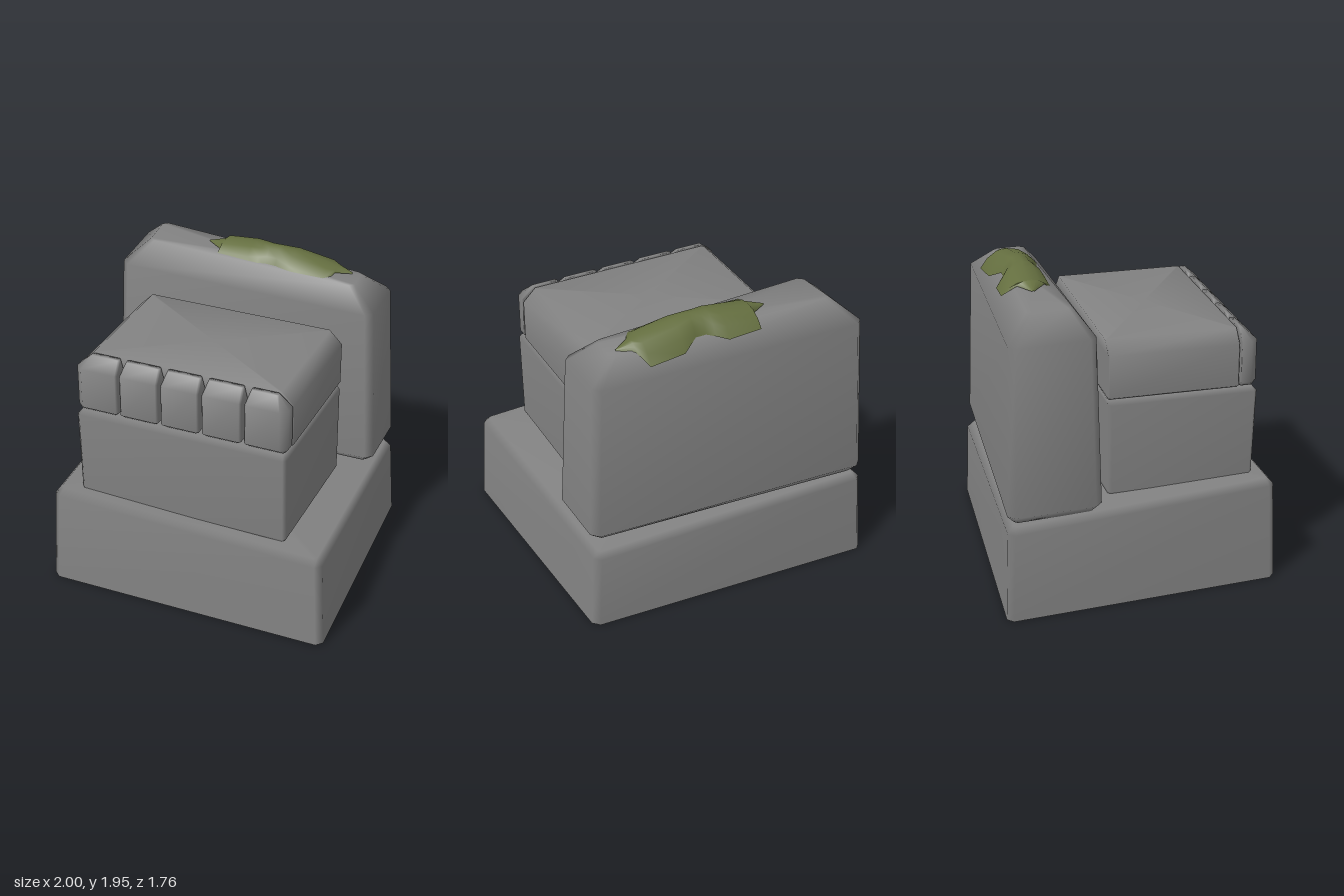
import * as THREE from 'three';

const stone = new THREE.MeshStandardMaterial({ color: 0x828282, side: THREE.DoubleSide });
stone.name = 'grey stone';
const green = new THREE.MeshStandardMaterial({ color: 0x656f40, side: THREE.DoubleSide });
green.name = 'moss green';

function makeMesh(name, points, index, material) {
  const g = new THREE.BufferGeometry();
  g.setAttribute('position', new THREE.Float32BufferAttribute(points.flat(), 3));
  g.setIndex(index);
  g.computeVertexNormals(); // area weighted: large faces stay flat, bevels stay soft
  const mesh = new THREE.Mesh(g, material);
  mesh.name = name;
  return mesh;
}

// Four corners cut to eight. Order: front left on screen, front right, back right, back left.
function cutCorners(corners, cut) {
  const p = corners.map(c => new THREE.Vector3(...c));
  return p.flatMap((v, i) => {
    const c = Array.isArray(cut) ? cut[i] : cut;
    return [p[(i + 3) % 4], p[(i + 1) % 4]].map(q =>
      v.clone().add(q.clone().sub(v).setLength(c)).toArray());
  });
}

// Loft a stone through rings listed from bottom to top
function loftStone(name, rings, openBottom = false) {
  const points = rings.flatMap(r => cutCorners(r.corners, r.cut));
  const index = [], n = 8;
  for (let r = 0; r < rings.length - 1; r++) {
    for (let i = 0; i < n; i++) {
      const a = r * n + i, b = r * n + (i + 1) % n;
      index.push(a, b, b + n, a, b + n, a + n);
    }
  }
  const cap = (start, up) => {
    const mid = [0, 1, 2].map(k => {
      let s = 0;
      for (let i = 0; i < n; i++) s += points[start + i][k];
      return s / n;
    });
    const m = points.push(mid) - 1;
    for (let i = 0; i < n; i++) {
      const a = start + i, b = start + (i + 1) % n;
      if (up) index.push(m, a, b); else index.push(m, b, a);
    }
  };
  cap((rings.length - 1) * n, true);
  if (!openBottom) cap(0, false);
  return makeMesh(name, points, index, stone);
}

// Level rectangular ring
const rect = (y, x0, x1, z0, z1, cut) => ({
  corners: [[x0, y, z1], [x1, y, z1], [x1, y, z0], [x0, y, z0]], cut,
});

function createModel() {
  const model = new THREE.Group();
  model.name = 'stoneMonument';

  // Skewed hollow plinth with a sloping top
  model.add(loftStone('base', [
    { corners: [[-0.87, 0, 0.88], [1.0, 0, 0.88], [0.91, 0, -0.79], [-1.005, 0, -0.885]], cut: 0.04 },
    { corners: [[-0.84, 0.635, 0.865], [0.97, 0.57, 0.865], [0.88, 0.5, -0.775], [-0.975, 0.565, -0.86]], cut: 0.04 },
    { corners: [[-0.805, 0.678, 0.825], [0.93, 0.61, 0.825], [0.845, 0.54, -0.74], [-0.935, 0.607, -0.82]], cut: 0.02 },
  ], true));

  // Upright back slab with broad sloping shoulders
  model.add(loftStone('backSlab', [
    { corners: [[-0.87, 0.62, -0.315], [0.84, 0.62, -0.315], [0.83, 0.62, -0.71], [-0.91, 0.62, -0.81]], cut: 0.02 },
    { corners: [[-0.93, 0.68, -0.265], [0.895, 0.67, -0.265], [0.885, 0.67, -0.755], [-0.975, 0.68, -0.86]], cut: 0.045 },
    { corners: [[-0.89, 1.74, -0.285], [0.845, 1.70, -0.285], [0.835, 1.70, -0.725], [-0.93, 1.74, -0.825]], cut: 0.045 },
    { corners: [[-0.73, 1.89, -0.395], [0.68, 1.83, -0.395], [0.67, 1.83, -0.6], [-0.76, 1.89, -0.68]], cut: 0.03 },
  ]));

  // Two stacked blocks in front of the slab
  model.add(loftStone('lowerBlock', [
    rect(0.61, -0.67, 0.68, -0.17, 0.74, 0.01),
    rect(0.64, -0.69, 0.7, -0.17, 0.76, 0.02),
    rect(1.22, -0.69, 0.7, -0.17, 0.78, 0.02),
    rect(1.25, -0.665, 0.675, -0.17, 0.755, 0.01),
  ]));
  model.add(loftStone('upperBlock', [
    rect(1.26, -0.68, 0.69, -0.17, 0.655, 0.008),
    rect(1.27, -0.69, 0.7, -0.17, 0.66, 0.008),
    rect(1.54, -0.69, 0.7, -0.17, 0.66, 0.008),
    rect(1.62, -0.61, 0.62, -0.17, 0.66, 0.008),
  ]));

  // Row of five small stones along the front edge
  const row = new THREE.Group();
  row.name = 'frontStones';
  const spans = [[-0.69, -0.405], [-0.39, -0.135], [-0.115, 0.135], [0.155, 0.41], [0.43, 0.7]];
  spans.forEach(([x0, x1], i) => {
    const l = i === 0, r = i === 4; // outer ends are cut more deeply
    const cut = [l ? 0.045 : 0.012, r ? 0.045 : 0.012, 0.006, 0.006];
    const tl = l ? 0.08 : 0.015, tr = r ? 0.08 : 0.015;
    row.add(loftStone('frontStone', [
      rect(1.26, x0 + 0.02, x1 - 0.02, 0.67, 0.75, 0.01),
      rect(1.285, x0, x1, 0.67, 0.78, cut),
      rect(1.55, x0, x1, 0.67, 0.78, cut),
      rect(1.62, x0 + tl, x1 - tr, 0.67, 0.705, 0.01),
    ]));
  });
  model.add(row);

  // Jagged moss draped over the slab: x, back z, back y, front z, front y, crest y
  const stations = [
    [-0.37, -0.56, 1.88, -0.55, 1.88, 1.885],
    [-0.25, -0.63, 1.88, -0.46, 1.88, 1.915],
    [-0.26, -0.73, 1.83, -0.39, 1.84, 1.915],
    [-0.05, -0.72, 1.81, -0.385, 1.82, 1.94],
    [0.02, -0.68, 1.83, -0.395, 1.83, 1.945],
    [0.07, -0.65, 1.84, -0.42, 1.84, 1.945],
    [0.14, -0.65, 1.84, -0.42, 1.84, 1.945],
    [0.24, -0.71, 1.79, -0.37, 1.80, 1.935],
    [0.47, -0.72, 1.77, -0.365, 1.785, 1.89],
    [0.52, -0.62, 1.83, -0.49, 1.85, 1.875],
    [0.62, -0.56, 1.835, -0.55, 1.835, 1.84],
  ];
  const steps = [0, 0.13, 0.3, 0.5, 0.7, 0.87, 1];
  const points = stations.flatMap(([x, zb, yb, zf, yf, top]) => steps.map(t => {
    const edge = THREE.MathUtils.lerp(yb, yf, t);
    const rise = 1 - Math.abs(2 * t - 1) ** 2.5;
    return [x, edge + (top - edge) * rise, THREE.MathUtils.lerp(zb, zf, t)];
  }));
  const index = [], n = steps.length;
  for (let s = 0; s < stations.length - 1; s++) {
    for (let j = 0; j < n - 1; j++) {
      const a = s * n + j, b = a + n;
      index.push(a, a + 1, b + 1, a, b + 1, b);
    }
  }
  model.add(makeMesh('moss', points, index, green));

  return model;
}

export { createModel };
